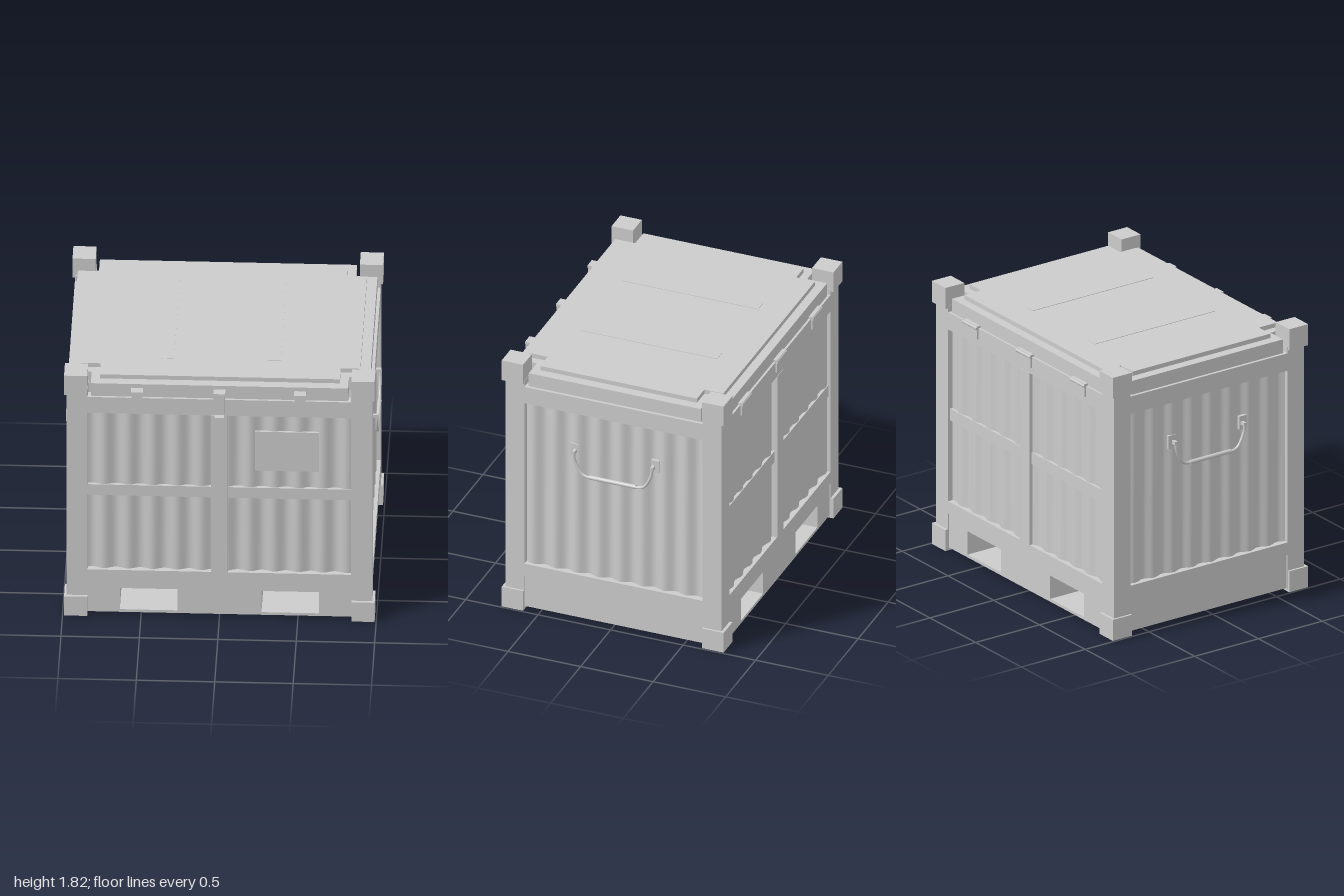
import * as THREE from 'three';

const HX = 0.975, HZ = 0.745;          // half width and half depth of the frame
const PX = 0.84, PZ = 0.615;           // inner edges of the corner posts
const mat = new THREE.MeshStandardMaterial({ color: 0xcccccc });
const sheet = new THREE.MeshStandardMaterial({ color: 0xcccccc, side: THREE.DoubleSide });

function add(parent, name, geo, material = mat) {
  const m = new THREE.Mesh(geo, material);
  m.name = name;
  parent.add(m);
  return m;
}

// Box given by its limits on each axis
function box(parent, name, x0, x1, y0, y1, z0, z1) {
  const m = add(parent, name, new THREE.BoxGeometry(x1 - x0, y1 - y0, z1 - z0));
  m.position.set((x0 + x1) / 2, (y0 + y1) / 2, (z0 + z1) / 2);
  return m;
}

function rect(Type, x0, x1, y0, y1) {
  const s = new Type();
  s.moveTo(x0, y0).lineTo(x1, y0).lineTo(x1, y1).lineTo(x0, y1).closePath();
  return s;
}

// Wavy sheet, facing +z
function corrugated(width, y0, y1, period, depth) {
  const geo = new THREE.PlaneGeometry(width, y1 - y0, 160, 1);
  const p = geo.attributes.position;
  for (let i = 0; i < p.count; i++) {
    p.setZ(i, depth * Math.sin((p.getX(i) / period) * Math.PI * 2));
  }
  geo.translate(0, (y0 + y1) / 2, 0);
  geo.computeVertexNormals();
  return geo;
}

// Lid tier: rectangle with a square notch in each corner
function lidTier(hx, hz, nx, nz, y0, y1) {
  const pts = [[nx, -hz], [nx, -nz], [hx, -nz], [hx, nz], [nx, nz], [nx, hz],
    [-nx, hz], [-nx, nz], [-hx, nz], [-hx, -nz], [-nx, -nz], [-nx, -hz]];
  const geo = new THREE.ExtrudeGeometry(new THREE.Shape(pts.map(([x, y]) => new THREE.Vector2(x, y))),
    { depth: y1 - y0, bevelEnabled: false });
  return geo.rotateX(-Math.PI / 2).translate(0, y0, 0);
}

// Long wall, facing +z
function longWall(name) {
  const g = new THREE.Group();
  g.name = name;
  box(g, 'topRail', -PX, PX, 1.525, 1.645, HZ - 0.06, HZ);
  box(g, 'lowerRail', -PX, PX, 0.255, 0.34, HZ - 0.06, HZ);
  const beam = rect(THREE.Shape, -PX, PX, 0.02, 0.26);
  beam.holes.push(rect(THREE.Path, -0.635, -0.268, 0.04, 0.2), rect(THREE.Path, 0.268, 0.635, 0.04, 0.2));
  add(g, 'forkBeam', new THREE.ExtrudeGeometry(beam, { depth: 0.03, bevelEnabled: false })).position.z = HZ - 0.036;
  box(g, 'bottomLip', -PX, PX, 0.02, 0.03, HZ - 0.07, HZ - 0.03);
  add(g, 'wallPanel', corrugated(2 * PX, 0.34, 1.525, 0.155, 0.01), sheet).position.z = HZ - 0.03;
  box(g, 'crossBar', -PX, PX, 0.895, 0.975, HZ - 0.035, HZ - 0.015);
  box(g, 'centrePost', -0.053, 0.053, 0.34, 1.527, HZ - 0.04, HZ + 0.003);
  return g;
}

// Short wall with its carrying handle, built facing +z and turned sideways
function shortWall(name) {
  const g = new THREE.Group();
  g.name = name;
  box(g, 'topRail', -PZ, PZ, 1.525, 1.645, HX - 0.06, HX);
  box(g, 'lowerRail', -PZ, PZ, 0.255, 0.34, HX - 0.06, HX);
  box(g, 'sideBeam', -PZ, PZ, 0.02, 0.26, HX - 0.05, HX - 0.015);
  box(g, 'bottomLip', -PZ, PZ, 0.02, 0.03, HX - 0.09, HX - 0.04);
  add(g, 'sidePanel', corrugated(2 * PZ, 0.34, 1.525, 0.15, 0.012), sheet).position.z = HX - 0.035;
  // handle
  const half = [[0.27, 1.25], [0.266, 1.2], [0.25, 1.155], [0.215, 1.1], [0.18, 1.085]];
  const path = [...half, [0, 1.085], ...half.map(([x, y]) => [-x, y]).reverse()];
  const curve = new THREE.CatmullRomCurve3(path.map(([x, y]) => new THREE.Vector3(x, y, 0.986)));
  add(g, 'handleBar', new THREE.TubeGeometry(curve, 60, 0.01, 10));
  const grip = add(g, 'handleGrip', new THREE.CylinderGeometry(0.014, 0.014, 0.32, 16));
  grip.rotation.z = Math.PI / 2;
  grip.position.set(0, 1.085, 0.986);
  for (const s of [-1, 1]) {
    const plate = box(g, 'handlePlate', 0.25, 0.305, 1.2, 1.29, HX - 0.04, HX - 0.018);
    const stub = box(g, 'handleStub', 0.26, 0.28, 1.232, 1.255, HX - 0.03, 0.994);
    plate.position.x *= s;
    stub.position.x *= s;
  }
  return g;
}

export function createModel() {
  const model = new THREE.Group();
  model.name = 'container';
  const body = new THREE.Group();
  body.name = 'body';
  body.position.z = -0.01;
  model.add(body);

  // Corner posts and corner blocks
  for (const sx of [-1, 1]) for (const sz of [-1, 1]) {
    const corner = new THREE.Group();
    corner.name = 'corner';
    box(corner, 'cornerPost', -(HX - PX) / 2, (HX - PX) / 2, 0.02, 1.69, -(HZ - PZ) / 2, (HZ - PZ) / 2)
      .position.set(sx * (HX + PX) / 2, 0.855, sz * (HZ + PZ) / 2);
    for (const y of [0.0725, 1.7425]) {
      add(corner, 'cornerBlock', new THREE.BoxGeometry(0.148, 0.145, 0.148)).position.set(sx * 0.916, y, sz * 0.691);
    }
    body.add(corner);
  }

  // Walls
  const front = longWall('frontWall');
  box(front, 'signPlate', 0.225, 0.635, 1.105, 1.4, HZ - 0.028, HZ - 0.014);
  const back = longWall('backWall');
  back.rotation.y = Math.PI;
  const left = shortWall('leftWall');
  left.rotation.y = Math.PI / 2;
  const right = shortWall('rightWall');
  right.rotation.y = -Math.PI / 2;
  body.add(front, back, left, right);

  // Forklift tunnels running front to back
  for (const s of [-1, 1]) {
    const tube = rect(THREE.Shape, -0.196, 0.196, 0.025, 0.212);
    tube.holes.push(rect(THREE.Path, -0.1835, 0.1835, 0.04, 0.2));
    add(body, 'forkTunnel', new THREE.ExtrudeGeometry(tube, { depth: 1.42, bevelEnabled: false }))
      .position.set(s * 0.4515, 0, -0.71);
  }

  // Stepped lid with two flat strips
  add(body, 'lidBase', lidTier(0.955, 0.73, 0.82, 0.593, 1.64, 1.74));
  add(body, 'lidTop', lidTier(0.89, 0.67, 0.765, 0.54, 1.73, 1.77));
  for (const x of [-0.342, 0.338]) box(body, 'lidStrip', x - 0.042, x + 0.042, 1.765, 1.773, -0.47, 0.47);

  // Front latches
  for (const x of [-0.525, 0, 0.515]) {
    box(body, 'latch', x - 0.035, x + 0.035, 1.56, 1.7, 0.768, 0.782);
    box(body, 'latchCap', x - 0.038, x + 0.038, 1.695, 1.712, 0.72, 0.785);
    box(body, 'latchBase', x - 0.025, x + 0.025, 1.585, 1.635, HZ - 0.01, 0.77);
  }
  box(body, 'latchCatch', -0.03, 0.03, 1.465, 1.53, HZ - 0.01, 0.78);

  // Back hinges
  for (const x of [-0.59, 0, 0.585]) {
    box(body, 'hingeLeaf', x - 0.077, x + 0.077, 1.57, 1.66, -0.756, -HZ + 0.02);
    const pin = add(body, 'hingePin', new THREE.CylinderGeometry(0.012, 0.012, 0.154, 12));
    pin.rotation.z = Math.PI / 2;
    pin.position.set(x, 1.645, -0.752);
  }
  return model;
}
